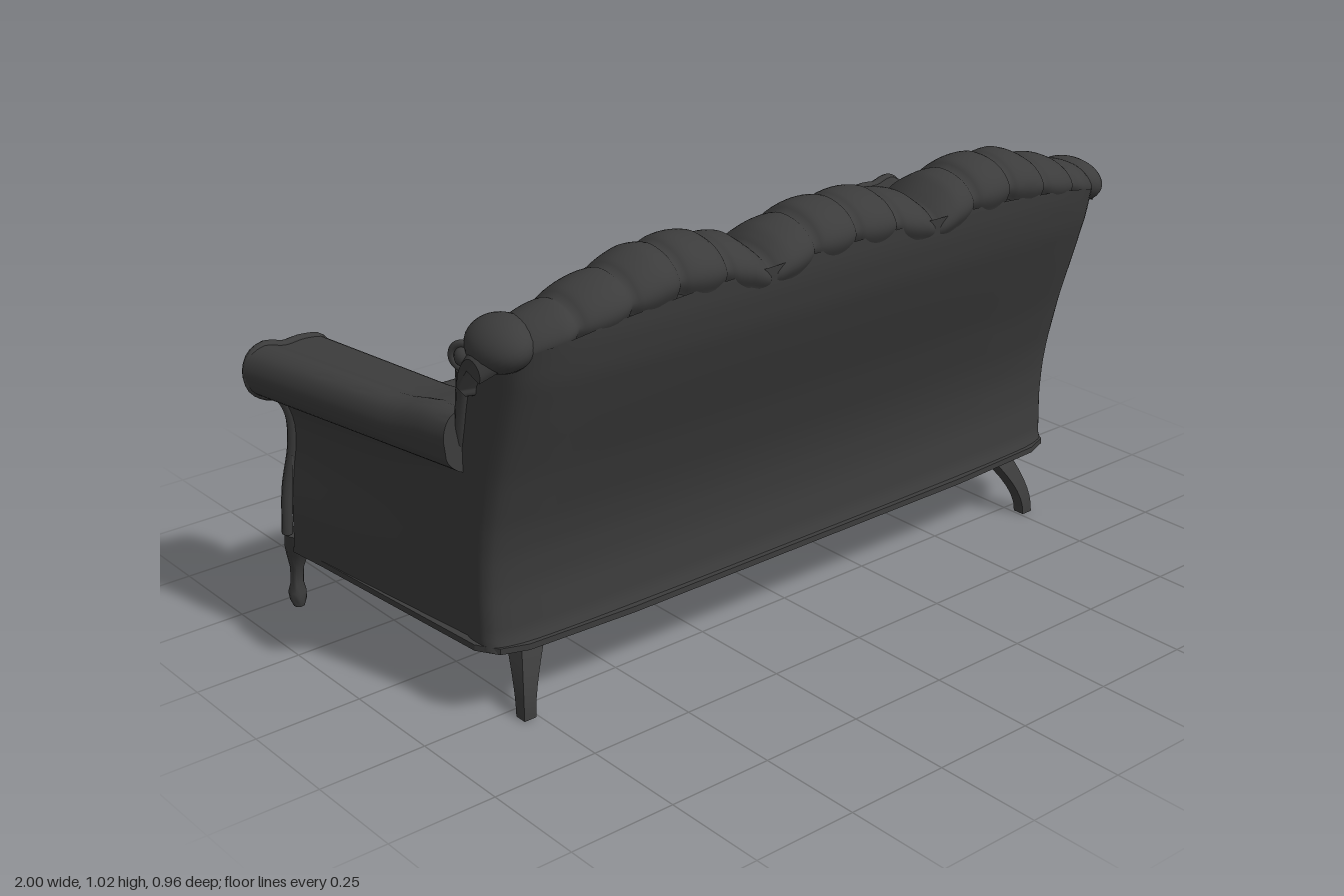
import * as THREE from 'three';
import { toCreasedNormals } from 'three/addons/utils/BufferGeometryUtils.js';
import { RoundedBoxGeometry } from 'three/addons/geometries/RoundedBoxGeometry.js';

const V = (x, y, z) => new THREE.Vector3(x, y, z);
const { lerp, clamp, smoothstep } = THREE.MathUtils;
const upholstery = new THREE.MeshStandardMaterial({ color: 0x3c3c3c, side: THREE.DoubleSide });

// Piecewise linear lookup in a table of [key, value]
function table(rows, k) {
  if (k <= rows[0][0]) return rows[0][1];
  for (let i = 1; i < rows.length; i++) {
    const [a, p] = rows[i - 1], [b, q] = rows[i];
    if (k <= b) return lerp(p, q, (k - a) / (b - a));
  }
  return rows[rows.length - 1][1];
}

const smooth = (pts, n) => new THREE.CatmullRomCurve3(pts).getPoints(n);

// Skin over rows of points; closed joins each row into a loop, caps fill both ends
function loft(rings, { closed = false, caps = false, crease = 0.7 } = {}) {
  const m = rings[0].length, pos = [], idx = [];
  rings.forEach(r => r.forEach(p => pos.push(p.x, p.y, p.z)));
  for (let i = 0; i < rings.length - 1; i++) {
    for (let j = 0; j < (closed ? m : m - 1); j++) {
      const k = (j + 1) % m, a = i * m + j, b = i * m + k;
      idx.push(a, b, a + m, b, b + m, a + m);
    }
  }
  if (caps) [0, rings.length - 1].forEach(i => {
    const c = rings[i].reduce((s, p) => s.add(p), V(0, 0, 0)).divideScalar(m);
    const n = pos.length / 3;
    pos.push(c.x, c.y, c.z);
    for (let j = 0; j < m; j++) {
      const a = i * m + j, b = i * m + (j + 1) % m;
      i ? idx.push(a, b, n) : idx.push(b, a, n);
    }
  });
  const g = new THREE.BufferGeometry();
  g.setAttribute('position', new THREE.Float32BufferAttribute(pos, 3));
  g.setIndex(idx);
  g.computeVertexNormals();
  return crease ? toCreasedNormals(g, crease) : g;
}

function add(parent, name, geo, x = 0, y = 0, z = 0) {
  const mesh = new THREE.Mesh(geo, upholstery);
  mesh.name = name;
  mesh.position.set(x, y, z);
  parent.add(mesh);
  return mesh;
}

const tube = (pts, r, n = 50) => new THREE.TubeGeometry(new THREE.CatmullRomCurve3(pts), n, r, 8);

// Outer shell wrapping the rear and the sides of the backrest
function backShell() {
  const rearZ = [[.17, .318], [.19, .306], [.3, .3], [.38, .307], [.45, .322], [.57, .36],
    [.7, .41], [.8, .447], [.88, .465], [.94, .47]];
  // x, depth fraction, top height
  const plan = [[0, 1, .935], [.25, 1, .932], [.45, .99, .925], [.65, .96, .905], [.76, .91, .885],
    [.82, .8, .865], [.845, .62, .83], [.85, .4, .79], [.85, .2, .74], [.845, 0, .66]];
  const half = plan.map(([x, f, t]) => V(x, t, f));
  const path = smooth([...half.slice(1).reverse().map(p => V(-p.x, p.y, p.z)), ...half], 72);
  const rows = [];
  for (let j = 0; j <= 28; j++) {
    rows.push(path.map(p => {
      const y = lerp(.17, p.y, j / 28);
      return V(p.x, y, lerp(.19, table(rearZ, y), p.z));
    }));
  }
  return loft(rows, { crease: 0 });
}

// Button-tufted backrest: channels that cross into diamonds, rolled over the top
function tuftedBack() {
  const profile = smooth([[.40, .2], [.5, .175], [.58, .163], [.66, .18], [.74, .208], [.83, .218],
    [.91, .243], [.97, .295], [1, .36], [.985, .43], [.95, .46], [.92, .45]]
    .map(([y, z]) => V(0, y, z)), 80);
  const crest = [[0, 1.02], [.1, 1.015], [.2, .985], [.245, .962], [.3, .995], [.38, 1.018], [.45, 1.022],
    [.53, 1.015], [.6, .995], [.7, .968], [.8, .93], [.87, .895], [.9, .86]];
  const width = [[.4, .72], [.62, .74], [.7, .82], [.76, .87], [.83, .895]];
  const depth = [[0, 1], [.4, 1], [.6, .95], [.75, .82], [.84, .6], [.9, .3]];
  const channels = 15, per = 12, n = channels * per, rows = [];
  profile.forEach((p, j) => {
    const a = profile[Math.max(j - 1, 0)], b = profile[Math.min(j + 1, 80)];
    const t = b.clone().sub(a).normalize();
    const over = j > 40;
    const shift = over ? 1 : clamp((p.y - .55) / .2, 0, 1);
    const row = [];
    for (let i = 0; i <= n; i++) {
      const u = i / n * 2 - 1, c = i / per + .5, ax = Math.abs(u) * .9;
      const puff = Math.min(Math.abs(Math.sin(Math.PI * (c + shift))), Math.abs(Math.sin(Math.PI * (c - shift))));
      const d = .018 * Math.sqrt(puff);
      let y = p.y + t.z * d, z = p.z - t.y * d;
      if (y > .74) y = .74 + (y - .74) * (table(crest, ax) - .755) / .263;
      const upper = over ? 1 : smoothstep(p.y, .66, .78);
      z = .3 + (z - .3) * lerp(1, table(depth, ax), upper);
      row.push(V(u * (over ? .895 : table(width, p.y)), y, z));
    }
    rows.push(row);
  });
  return { skin: loft(rows, { crease: 0 }), end: rows.map(r => r[n]) };
}

// Rolled arm with its inner and outer panels, front moulding and scroll
function arm() {
  const g = new THREE.Group();
  const front = [[.80, .18], [.79, .4], [.772, .56], [.776, .63], [.80, .665], [.85, .675], [.90, .672], [.95, .683],
    [.985, .667], [1, .63], [.99, .59], [.96, .565], [.92, .55], [.895, .5], [.89, .42], [.905, .3], [.91, .18]];
  const face = smooth(front.map(([x, y]) => V(x, y, 0)), 64);
  const rings = [];
  for (let i = 0; i <= 16; i++) {
    const s = i / 16;
    rings.push(face.map(p => {
      const rearX = p.x > .88 && p.y < .56 ? .845 : .70 + .84 * (p.x - .772);
      const rise = p.y > .6 ? .016 * smoothstep(s, .7, .9) : 0;
      return V(lerp(p.x, rearX, s), p.y + rise, lerp(-.395, .21, s));
    }));
  }
  add(g, 'armBody', loft(rings, { closed: true, caps: true }));
  const bow = y => -.397 - .03 * smoothstep(.5 - y, 0, .3);
  const edge = front.map(([x, y]) => V(lerp(x, .885, .1), lerp(y, .6, .06), bow(y)));
  add(g, 'armFrontMoulding', tube(edge, .013, 80));
  add(g, 'armInnerMoulding', tube(edge.map(p => V(lerp(p.x, .87, .4), lerp(p.y, .6, .12), p.z + .002)), .009, 80));
  // Pleats fanned around the central scroll
  for (let i = 0; i < 7; i++) {
    const a = i / 6 * Math.PI, c = Math.cos(a), s = Math.sin(a);
    const pleat = add(g, 'armPleat', new THREE.SphereGeometry(.02, 14, 10), .887 + c * .07, .612 + s * .035, -.393);
    pleat.scale.set(1.9 - s * .6, 1, .9);
    pleat.rotation.z = a;
  }
  add(g, 'armScroll', new THREE.SphereGeometry(.026, 18, 12), .887, .605, -.4).scale.z = .6;
  add(g, 'armScrollRing', new THREE.TorusGeometry(.03, .008, 8, 24), .887, .605, -.403);
  return g;
}

// Cabriole leg with a rounded foot
function frontLeg() {
  const rows = [[.2, -.425, .036], [.165, -.436, .033], [.14, -.445, .026], [.1, -.453, .016], [.06, -.458, .015],
    [.035, -.46, .021], [.015, -.458, .019], [0, -.456, .013]];
  return loft(rows.map(([y, z, r]) => Array.from({ length: 14 }, (_, i) => {
    const a = -i / 14 * Math.PI * 2;
    return V(Math.cos(a) * r, y, z + Math.sin(a) * r);
  })), { closed: true, caps: true, crease: 1 });
}

// Splayed sabre leg with a square section
function rearLeg() {
  const rows = [];
  for (let i = 0; i <= 8; i++) {
    const s = i / 8, f = Math.sin(s * Math.PI / 2), h = lerp(.034, .015, f);
    const x = lerp(.71, .772, f), z = lerp(.21, .292, f);
    rows.push([[-1, -1], [-1, 1], [1, 1], [1, -1]].map(([a, b]) => V(x + a * h, .172 * (1 - s), z + b * h)));
  }
  return loft(rows, { closed: true, caps: true });
}

// Seat cushion; its side edges close in towards the backrest
function cushion(x0, x1, back0, back1) {
  const g = new RoundedBoxGeometry(1, .2, .68, 8, .08);
  const p = g.attributes.position;
  for (let i = 0; i < p.count; i++) {
    const x = p.getX(i), y = p.getY(i), z = p.getZ(i), s = z / .68 + .5;
    // keep the end rounding narrow and the front bottom square
    const cx = clamp(x * 1.06, -.5, .5) + .5;
    const squareFront = y < 0 && z < -.259 ? -.34 : z;
    p.setXYZ(i, lerp(lerp(x0, back0, s), lerp(x1, back1, s), cx), y + .362, squareFront - .14);
  }
  g.computeVertexNormals();
  return g;
}

// Horizontal slab from a half plan outline of [x, z]
function slab(half, y, h) {
  const pts = [...half, ...half.slice().reverse().map(([x, z]) => [-x, z])];
  const g = new THREE.ExtrudeGeometry(new THREE.Shape(pts.map(([x, z]) => new THREE.Vector2(x, -z))),
    { depth: h, bevelEnabled: false });
  return g.rotateX(-Math.PI / 2).translate(0, y, 0);
}

export function createModel() {
  const sofa = new THREE.Group();
  sofa.name = 'sofa';

  // Base
  add(sofa, 'basePlate', slab([[.3, -.40], [.91, -.40], [.9, -.3], [.86, .24], [.83, .29], [.77, .312], [.5, .325]], .168, .014));
  add(sofa, 'seatDeck', slab([[.5, -.40], [.8, -.40], [.8, .2], [.5, .25]], .18, .1));

  // Scalloped front apron with moulding
  const dip = x => {
    const a = Math.abs(x), m = a < .265 ? a / .265 : Math.abs(a - .57) / .305;
    return .178 + .035 * (1 - Math.min(m, 1) ** 2);
  };
  const xs = Array.from({ length: 49 }, (_, i) => -.87 + i * 1.74 / 48);
  const outline = [...xs.map(x => new THREE.Vector2(x, dip(x))), new THREE.Vector2(.82, .285), new THREE.Vector2(-.82, .285)];
  add(sofa, 'apron', new THREE.ExtrudeGeometry(new THREE.Shape(outline), { depth: .05, bevelEnabled: false }), 0, 0, -.435);
  add(sofa, 'apronLowerMoulding', tube(xs.map(x => V(x, dip(x), -.437)), .012, 120));
  add(sofa, 'apronUpperMoulding', tube(xs.map(x => V(x * .95, dip(x) + .045, -.437)), .009, 120));

  // Cushions
  add(sofa, 'middleCushion', cushion(-.275, .275, -.255, .255));
  add(sofa, 'leftCushion', cushion(.275, .805, .255, .705));
  add(sofa, 'rightCushion', cushion(-.805, -.275, -.705, -.255));

  // Backrest
  add(sofa, 'backShell', backShell());
  const { skin, end } = tuftedBack();
  add(sofa, 'tuftedBack', skin);

  // Mirrored parts
  [1, -1].forEach(side => {
    const g = new THREE.Group();
    g.name = side > 0 ? 'leftSide' : 'rightSide';
    g.scale.x = side;
    sofa.add(g);
    const armGroup = arm();
    armGroup.name = 'arm';
    g.add(armGroup);
    const hub = end.map(p => p.y > .77 ? V(.89, .82, .3) : V(Math.min(p.x, .8), p.y, .28));
    add(g, 'backEndCap', loft([end, hub], { crease: 0 }));
    const puff = add(g, 'backEndPuff', new THREE.SphereGeometry(1, 28, 18), .828, .872, .33);
    puff.scale.set(.066, .052, .088);
    puff.rotation.z = -.5;
    add(g, 'backScroll', new THREE.SphereGeometry(.022, 18, 12), .875, .84, .275);
    add(g, 'backScrollRing', new THREE.TorusGeometry(.026, .008, 8, 24).rotateY(Math.PI / 2 - .5), .877, .84, .273);
    add(g, 'backSideMoulding', tube([V(.845, .62, .2), V(.853, .7, .22), V(.862, .76, .24), V(.875, .81, .262)], .013, 24));
    const leg = frontLeg();
    add(g, 'cornerLeg', leg, .875);
    add(g, 'middleLeg', leg, .265);
    add(g, 'rearLeg', rearLeg());
    // Fan of petals above the middle leg
    for (let i = -2; i <= 2; i++) {
      const petal = add(g, 'shellPetal', new THREE.SphereGeometry(.012, 10, 8), .265 + i * .014, .205 - Math.abs(i) * .004, -.445);
      petal.scale.y = 2;
      petal.rotation.z = -i * .35;
    }
  });
  return sofa;
}
